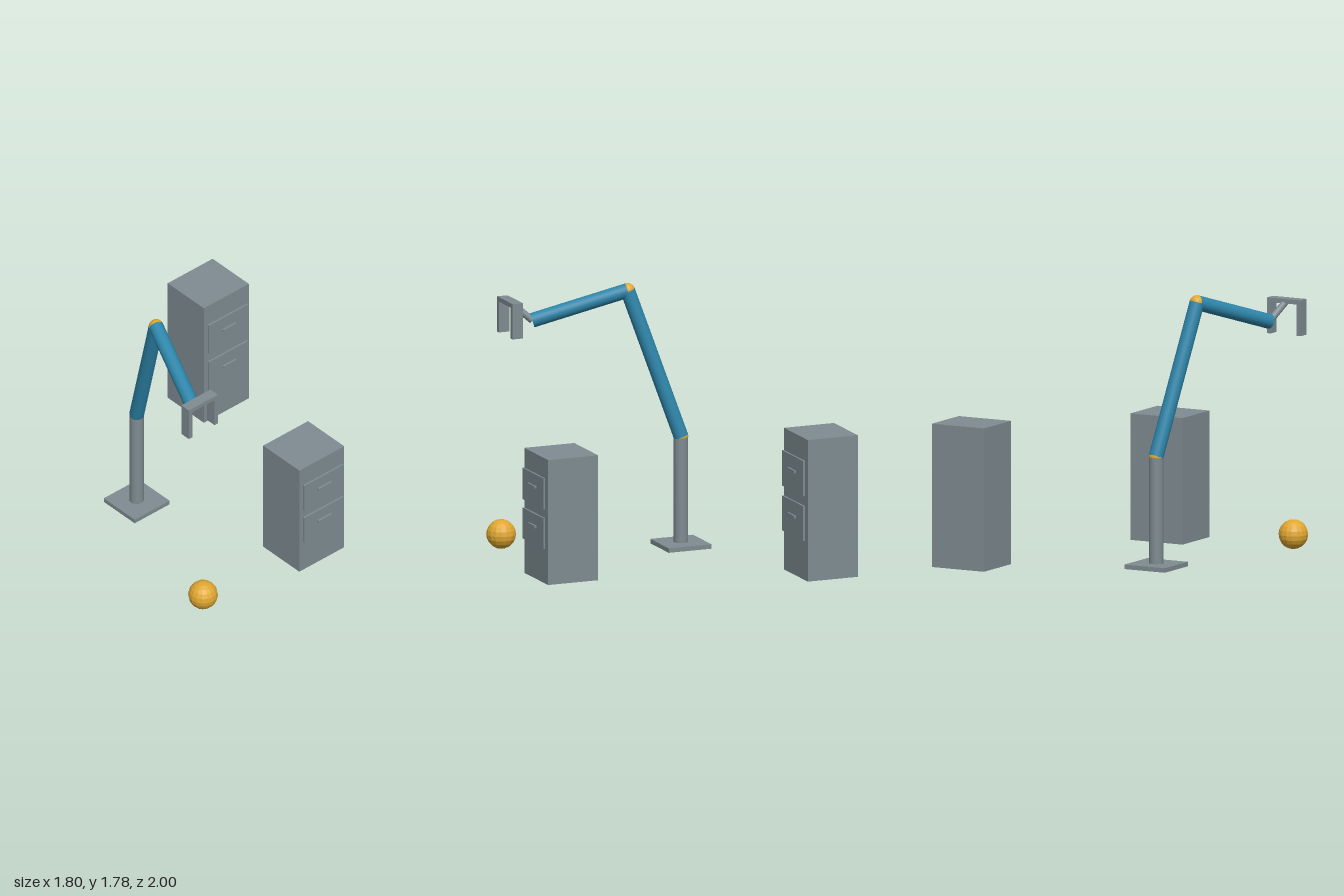
import * as THREE from 'three';

export function createModel() {
  const model = new THREE.Group();
  model.name = 'robotArmWithCabinets';

  const flatColour = (name, color) => {
    const m = new THREE.MeshStandardMaterial({ color });
    m.name = name;
    return m;
  };
  const grey = flatColour('steelGrey', 0x7f8c92);
  const blue = flatColour('armBlue', 0x2e86ab);
  const gold = flatColour('ballGold', 0xe0a832);
  gold.flatShading = true;

  function add(parent, name, geometry, material, x, y, z) {
    const mesh = new THREE.Mesh(geometry, material);
    mesh.name = name;
    mesh.position.set(x, y, z);
    parent.add(mesh);
    return mesh;
  }

  // box given by its minimum and maximum corners
  function box(parent, name, [x0, y0, z0], [x1, y1, z1]) {
    const geometry = new THREE.BoxGeometry(x1 - x0, y1 - y0, z1 - z0);
    return add(parent, name, geometry, grey, (x0 + x1) / 2, (y0 + y1) / 2, (z0 + z1) / 2);
  }

  // cylinder running from point a to point b
  function rod(parent, name, a, b, radius, material) {
    const dir = b.clone().sub(a);
    const geometry = new THREE.CylinderGeometry(radius, radius, dir.length(), 24);
    const mid = a.clone().lerp(b, 0.5);
    const mesh = add(parent, name, geometry, material, mid.x, mid.y, mid.z);
    mesh.quaternion.setFromUnitVectors(new THREE.Vector3(0, 1, 0), dir.normalize());
    return mesh;
  }

  // robot arm: base, column, two links and their joints
  const arm = new THREE.Group();
  arm.name = 'robotArm';
  model.add(arm);
  const foot = new THREE.Vector3(-0.393, 0.03, -0.294);
  const shoulder = new THREE.Vector3(-0.393, 0.74, -0.294);
  const elbow = new THREE.Vector3(-0.514, 1.727, 0.035);
  const wrist = new THREE.Vector3(-0.726, 1.535, 0.626);
  const palm = new THREE.Vector3(-0.778, 1.66, 0.762);
  box(arm, 'basePlate', [-0.546, 0, -0.447], [-0.24, 0.03, -0.141]);
  rod(arm, 'column', foot, shoulder, 0.048, grey);
  rod(arm, 'upperArm', shoulder, elbow, 0.049, blue);
  rod(arm, 'forearm', elbow, wrist, 0.049, blue);
  rod(arm, 'wristRod', wrist, palm, 0.023, grey);
  for (const [name, p] of [['shoulderJoint', shoulder], ['elbowJoint', elbow]])
    add(arm, name, new THREE.SphereGeometry(0.049, 16, 12), gold, p.x, p.y, p.z);

  // gripper: crossbar with two hanging fingers
  const gripper = new THREE.Group();
  gripper.name = 'gripper';
  arm.add(gripper);
  box(gripper, 'gripperBar', [-0.905, 1.645, 0.725], [-0.65, 1.675, 0.8]);
  for (const [name, x] of [['rightFinger', -0.905], ['leftFinger', -0.68]])
    box(gripper, name, [x, 1.437, 0.725], [x + 0.03, 1.645, 0.8]);

  // cabinet with drawer fronts standing slightly proud, each with a handle
  function cabinet(name, x, height, front, drawers) {
    const group = new THREE.Group();
    group.name = name;
    model.add(group);
    box(group, 'cabinetBody', [x - 0.197, 0, front - 0.358], [x + 0.197, height, front]);
    for (const [bottom, top] of drawers) {
      box(group, 'drawerFront', [x - 0.172, bottom, front + 0.01], [x + 0.172, top, front + 0.023]);
      const y = (bottom + top) / 2 + 0.021;
      box(group, 'drawerHandle', [x - 0.058, y - 0.008, front + 0.023], [x + 0.058, y + 0.008, front + 0.037]);
    }
  }
  cabinet('frontCabinet', 0.117, 0.842, 0.963, [[0.24, 0.447], [0.505, 0.715]]);
  cabinet('rearCabinet', 0.703, 0.954, -0.642, [[0.27, 0.505], [0.572, 0.81]]);

  // loose ball on the floor
  add(model, 'ball', new THREE.SphereGeometry(0.098, 16, 10), gold, -0.797, 0.098, 0.818);

  return model;
}
